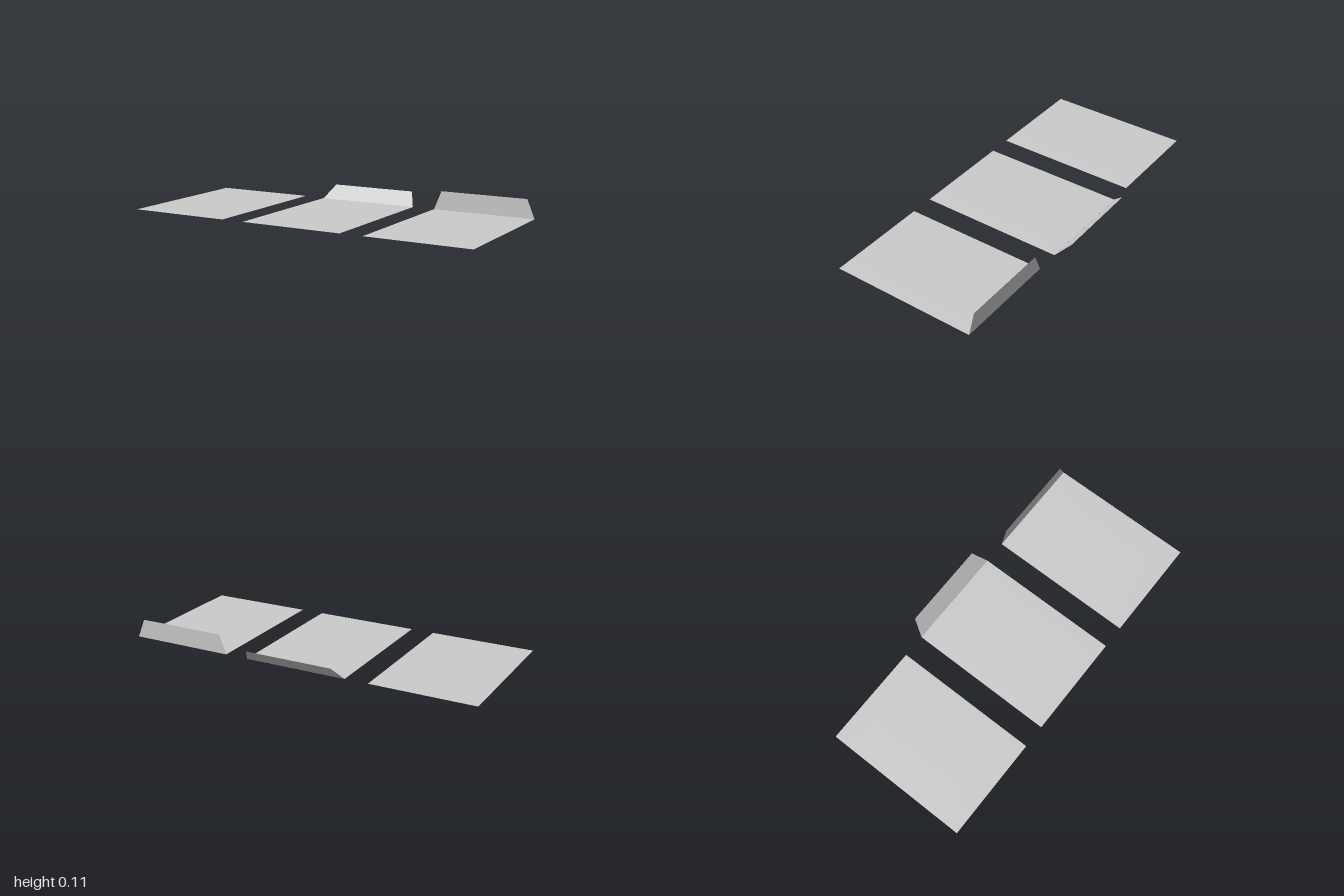
import * as THREE from 'three';

const WIDTH = 0.58, BACK = -0.378, FRONT = 0.446, THICK = 0.004;
const FLAP = 0.105, INSET = 0.043;

const paper = new THREE.MeshStandardMaterial({ color: 0xcccccc, side: THREE.DoubleSide });

// Thin pocket whose upper and lower sheets meet along the edges
function pocketGeometry() {
  const depth = FRONT - BACK;
  const geo = new THREE.BoxGeometry(WIDTH, THICK, depth, 12, 1, 16);
  const p = geo.attributes.position;
  for (let i = 0; i < p.count; i++) {
    const u = Math.abs(p.getX(i)) / (WIDTH / 2);
    const v = Math.abs(p.getZ(i)) / (depth / 2);
    const puff = 0.25 + 0.75 * (1 - u ** 8) * (1 - v ** 8);
    p.setY(i, p.getY(i) * puff);
  }
  geo.translate(0, THICK / 2, (FRONT + BACK) / 2);
  geo.computeVertexNormals();
  return geo;
}

// Tapered closing flap, hinged along its wide edge
function flapGeometry() {
  const w = WIDTH / 2;
  return new THREE.ShapeGeometry(new THREE.Shape([
    new THREE.Vector2(-w, 0), new THREE.Vector2(w, 0),
    new THREE.Vector2(w - INSET, FLAP), new THREE.Vector2(-w + INSET, FLAP),
  ]));
}

function envelope(name, x, foldDegrees) {
  const group = new THREE.Group();
  group.name = name;
  group.position.x = x;

  const pocket = new THREE.Mesh(pocketGeometry(), paper);
  pocket.name = 'pocket';

  const flap = new THREE.Mesh(flapGeometry(), paper);
  flap.name = 'flap';
  // A closed flap rests just above the pocket
  flap.position.set(0, foldDegrees === 180 ? THICK + 0.001 : THICK / 2, BACK);
  flap.rotation.x = THREE.MathUtils.degToRad(foldDegrees - 90);

  group.add(pocket, flap);
  return group;
}

export function createModel() {
  const model = new THREE.Group();
  model.name = 'envelopes';
  model.add(
    envelope('closedEnvelope', -0.71, 180),
    envelope('openEnvelope', 0, 45),
    envelope('halfOpenEnvelope', 0.71, 90),
  );
  return model;
}
